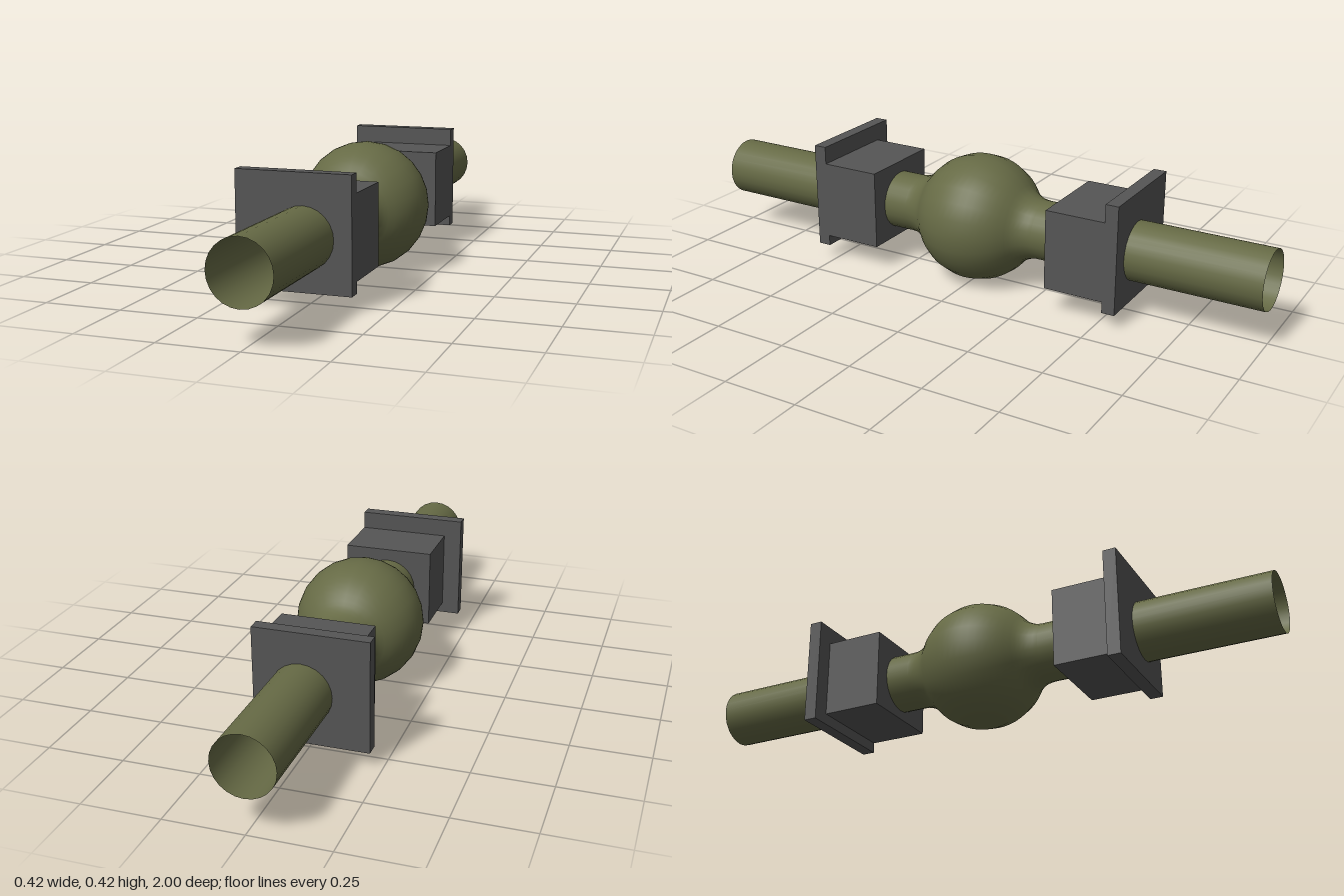
import * as THREE from 'three';

const AXIS_Y = 0.213;
const SIDES = 24;

// Half profile (radius, distance along axis): ball, concave fillet, straight pipe
function halfProfile() {
  const ballR = 0.2105, pipeR = 0.097, filletZ = 0.24, filletR = 0.101;
  const contact = Math.atan2(filletZ, pipeR + filletR);
  const pts = [];
  for (let i = 0; i <= 8; i++) {
    const a = (contact * i) / 8;
    pts.push(new THREE.Vector2(ballR * Math.cos(a), ballR * Math.sin(a)));
  }
  for (let i = 1; i <= 6; i++) {
    const a = contact + ((Math.PI / 2 - contact) - (Math.PI / 2 - contact) * 1) + 0;
    const t = a * (1 - i / 6) + 0;
    // sweep from the ball's tangent point down to the pipe wall
    const ang = (Math.PI / 2 - contact) * (1 - i / 6) + (Math.PI / 2) * (i / 6);
    pts.push(new THREE.Vector2(
      pipeR + filletR - filletR * Math.sin(ang),
      filletZ - filletR * Math.cos(ang)
    ));
  }
  pts.push(new THREE.Vector2(pipeR, 1));
  return pts;
}

export function createModel() {
  const group = new THREE.Group();
  const olive = new THREE.MeshStandardMaterial({ color: 0x666a45, side: THREE.DoubleSide });
  const grey = new THREE.MeshStandardMaterial({ color: 0x555555 });

  // Open-ended pipe with a ball in the middle, turned along z
  const half = halfProfile();
  const mirrored = half.slice(1).reverse().map((p) => new THREE.Vector2(p.x, -p.y));
  const pipeGeometry = new THREE.LatheGeometry([...mirrored, ...half], SIDES);
  pipeGeometry.rotateX(Math.PI / 2);
  const pipe = new THREE.Mesh(pipeGeometry, olive);
  pipe.name = 'pipeWithBall';
  pipe.position.y = AXIS_Y;
  group.add(pipe);

  function box(name, parent, min, max) {
    const size = max.map((v, i) => v - min[i]);
    const mesh = new THREE.Mesh(new THREE.BoxGeometry(...size), grey);
    mesh.position.set(...max.map((v, i) => (v + min[i]) / 2));
    mesh.name = name;
    parent.add(mesh);
  }

  // Clamp block and offset flange at each end
  for (const s of [1, -1]) {
    const clamp = new THREE.Group();
    clamp.name = s > 0 ? 'frontClamp' : 'backClamp';
    const span = (a, b) => (s > 0 ? [a, b] : [-b, -a]);
    const [b0, b1] = span(0.32, 0.52);
    const [f0, f1] = span(0.52, 0.563);
    box('clampBlock', clamp, [-0.152, 0.086, b0], [0.152, 0.349, b1]);
    box('clampFlange', clamp, [-0.212, 0.05, f0], [0.152, 0.408, f1]);
    group.add(clamp);
  }
  return group;
}
